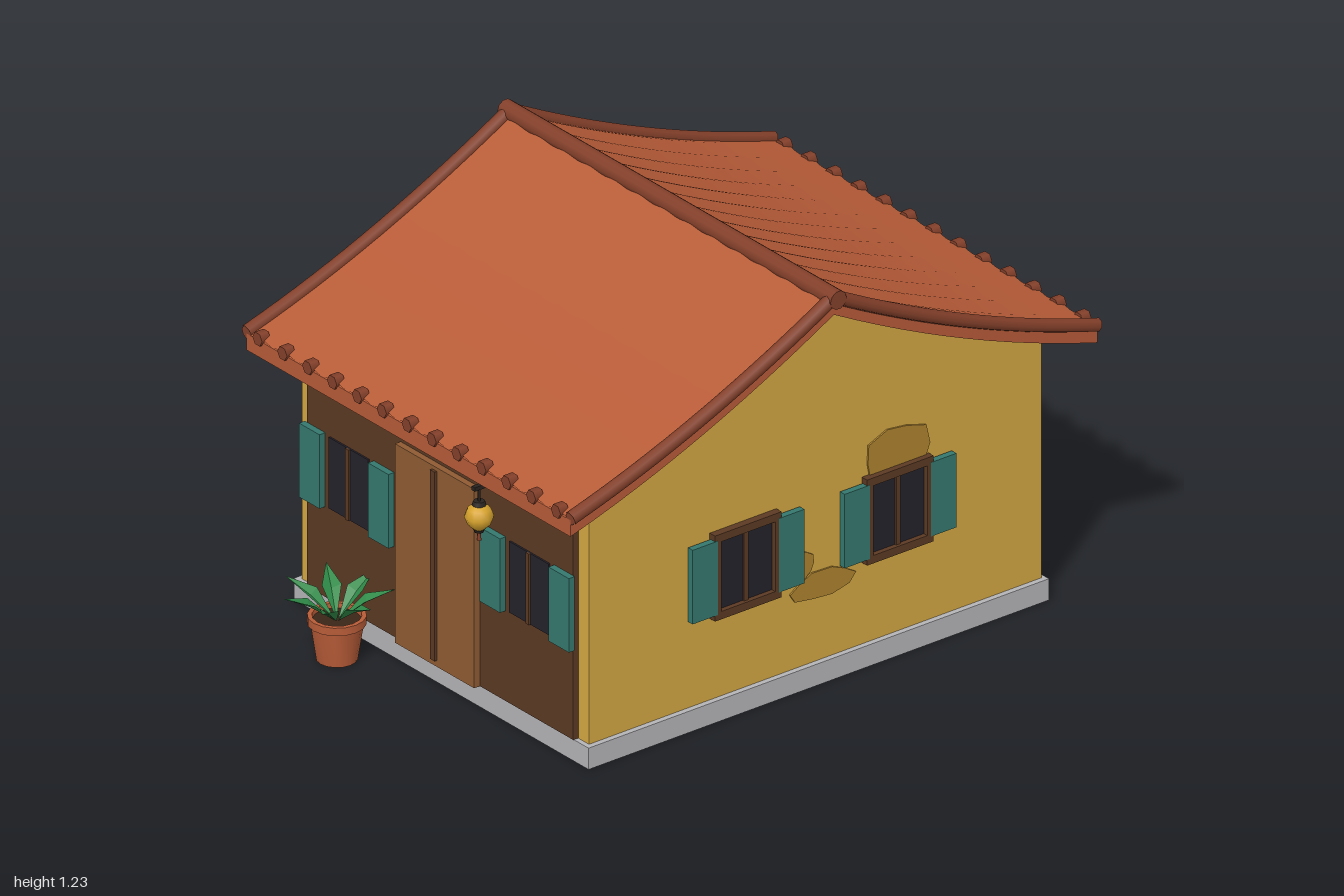
import * as THREE from 'three';
import { toCreasedNormals } from 'three/addons/utils/BufferGeometryUtils.js';

const mat = (color, extra = {}) => Object.assign(new THREE.MeshStandardMaterial({ color }), extra);
const M = {
  tile: mat(0xb85c38), ridge: mat(0x84402a), wall: mat(0xd4a843), stone: mat(0xb4b4b8),
  wood: mat(0x5c3a24), door: mat(0x8f5b33), glass: mat(0x25222b), shutter: mat(0x35786e),
  stain: mat(0xaf832f), pot: mat(0xb85c38), soil: mat(0x3b2618), iron: mat(0x2a2420),
  lantern: mat(0xd9a52e), leaf: mat(0x2f8a48, { flatShading: true, side: THREE.DoubleSide }),
};

function add(parent, name, geo, material, x = 0, y = 0, z = 0) {
  const m = new THREE.Mesh(geo, material);
  m.name = name;
  m.position.set(x, y, z);
  parent.add(m);
  return m;
}
const box = (parent, name, material, w, h, d, x, y, z) =>
  add(parent, name, new THREE.BoxGeometry(w, h, d), material, x, y, z);

// Underside height of the sagging roof at depth z
const RIDGE_Z = -0.085, REACH = 0.91, PITCH = 0.1075;
function roofY(z) {
  const t = Math.abs(z - RIDGE_Z) / REACH;
  return 1.15 - 0.38 * t - 0.12 * t * (1 - t);
}
// Points (z, y) along the roof from z0 to z1, passing through the ridge
function roofLine(z0, z1, lift, n = 12) {
  const pts = [];
  for (let i = 0; i <= 2 * n; i++) {
    const z = i < n ? z0 + (RIDGE_Z - z0) * i / n : RIDGE_Z + (z1 - RIDGE_Z) * (i - n) / n;
    pts.push(new THREE.Vector2(z, roofY(z) + lift));
  }
  return pts;
}
// Extrude a (z, y) outline across the width of the house
function acrossX(points, width) {
  const g = new THREE.ExtrudeGeometry(new THREE.Shape(points), { depth: width, bevelEnabled: false });
  g.rotateY(-Math.PI / 2).translate(width / 2, 0, 0);
  return toCreasedNormals(g, 0.3);
}

function buildRoof() {
  const roof = new THREE.Group();
  roof.name = 'roof';
  const front = RIDGE_Z + REACH, back = RIDGE_Z - REACH;
  add(roof, 'roofSlab', acrossX(
    [...roofLine(back, front, 0), ...roofLine(back, front, 0.05).reverse()], 1.4), M.tile);
  for (const s of [1, -1]) {
    // Gently corrugated tile surface
    const g = new THREE.PlaneGeometry(1.36, REACH, 104, 12).rotateX(-Math.PI / 2);
    if (s < 0) g.rotateY(Math.PI);
    g.translate(0, 0, RIDGE_Z + s * REACH / 2);
    const p = g.attributes.position;
    for (let i = 0; i < p.count; i++) p.setY(i, roofY(p.getZ(i)) + 0.052);
    g.computeVertexNormals();
    for (let i = 0; i < p.count; i++)
      p.setY(i, p.getY(i) + 0.004 * (1 + Math.cos(2 * Math.PI * p.getX(i) / PITCH)));
    add(roof, 'tileSurface', g, M.tile);
    // Hexagonal tile ends along the eave
    for (let i = -6; i <= 6; i++)
      add(roof, 'eaveTileEnd', new THREE.CylinderGeometry(0.021, 0.021, 0.03, 6)
        .rotateY(Math.PI / 6).rotateX(Math.PI / 2), M.ridge,
        i * PITCH, 0.827, RIDGE_Z + s * (REACH - 0.008));
    // Rounded tiles along both gable edges
    for (const side of [1, -1]) {
      const pts = [];
      for (let i = 0; i <= 8; i++) {
        const z = RIDGE_Z + s * REACH * i / 8;
        pts.push(new THREE.Vector3(side * 0.7, roofY(z) + 0.055, z));
      }
      const path = new THREE.CatmullRomCurve3(pts);
      add(roof, 'vergeTile', new THREE.TubeGeometry(path, 16, 0.02, 8), M.ridge);
      const cap = add(roof, 'vergeCap', new THREE.CircleGeometry(0.02, 8), M.ridge,
        side * 0.7, 0.825, RIDGE_Z + s * REACH);
      if (s < 0) cap.rotation.y = Math.PI;
    }
  }
  add(roof, 'ridgeTile', new THREE.CylinderGeometry(0.028, 0.028, 1.44, 10).rotateZ(Math.PI / 2),
    M.ridge, 0, 1.202, RIDGE_Z);
  return roof;
}

// Window facing +z with open or closed shutters
function buildWindow(framed, closed) {
  const g = new THREE.Group();
  g.name = 'window';
  if (framed) {
    for (const s of [1, -1]) {
      box(g, 'frameSide', M.wood, 0.022, 0.26, 0.03, s * 0.104, 0, 0.008);
      box(g, 'frameRail', M.wood, 0.23, 0.024, 0.03, 0, s * 0.118, 0.008);
    }
  }
  if (closed) {
    for (const s of [1, -1]) box(g, 'closedShutter', M.shutter, 0.093, 0.22, 0.02, s * 0.0467, 0, 0.02);
    return g;
  }
  box(g, 'glass', M.glass, framed ? 0.19 : 0.17, 0.216, 0.016, 0, 0, 0);
  box(g, 'mullion', M.wood, 0.014, 0.216, 0.024, 0, 0, 0.002);
  for (const s of [1, -1]) box(g, 'openShutter', M.shutter, 0.088, 0.225, 0.02, s * 0.149, 0, 0.014);
  return g;
}

// Irregular patch of worn plaster, facing +z
function stainGeometry(w, h, seed) {
  const shape = new THREE.Shape();
  for (let i = 0; i < 10; i++) {
    const a = i / 10 * Math.PI * 2, r = 0.94 + 0.1 * Math.sin(seed * 2.3 + i * 2.1);
    const x = Math.cos(a) * r * w / 2, y = Math.sin(a) * r * h / 2;
    if (i) shape.lineTo(x, y); else shape.moveTo(x, y);
  }
  return new THREE.ExtrudeGeometry(shape, { depth: 0.006, bevelEnabled: false });
}

function buildPlant() {
  const g = new THREE.Group();
  g.name = 'pottedPlant';
  const profile = [[0, 0], [0.057, 0], [0.073, 0.105], [0.081, 0.108], [0.081, 0.132], [0.068, 0.132], [0.066, 0.115]];
  const pot = new THREE.LatheGeometry(profile.map(p => new THREE.Vector2(...p)), 16);
  add(g, 'pot', toCreasedNormals(pot, 0.5), M.pot);
  add(g, 'soil', new THREE.CircleGeometry(0.067, 16).rotateX(-Math.PI / 2), M.soil, 0, 0.118, 0);
  // Folded leaf: base, wide middle, pointed tip
  const leaf = new THREE.BufferGeometry();
  leaf.setAttribute('position', new THREE.Float32BufferAttribute([
    0.005, 0.115, 0, 0.075, 0.185, 0.027, 0.08, 0.172, 0, 0.075, 0.185, -0.027, 0.158, 0.212, 0], 3));
  leaf.setIndex([0, 1, 2, 0, 2, 3, 1, 4, 2, 2, 4, 3]);
  leaf.computeVertexNormals();
  for (let i = 0; i < 7; i++) add(g, 'leaf', leaf, M.leaf).rotation.y = -0.04 - i * Math.PI * 2 / 7;
  return g;
}

function buildLantern() {
  const g = new THREE.Group();
  g.name = 'hangingLantern';
  box(g, 'bracket', M.iron, 0.014, 0.012, 0.13, 0, 0.745, -0.045);
  add(g, 'cord', new THREE.CylinderGeometry(0.004, 0.004, 0.05, 6), M.iron, 0, 0.718, 0);
  const body = [[0, 0.618], [0.016, 0.619], [0.032, 0.634], [0.041, 0.657], [0.032, 0.68], [0.016, 0.693], [0, 0.694]];
  add(g, 'lanternBody', new THREE.LatheGeometry(body.map(p => new THREE.Vector2(...p)), 12), M.lantern);
  add(g, 'lanternCap', new THREE.CylinderGeometry(0.016, 0.02, 0.012, 10), M.iron, 0, 0.697, 0);
  add(g, 'lanternFoot', new THREE.CylinderGeometry(0.017, 0.013, 0.01, 10), M.iron, 0, 0.614, 0);
  add(g, 'tassel', new THREE.CylinderGeometry(0.004, 0.007, 0.028, 6), M.ridge, 0, 0.598, 0);
  return g;
}

export function createModel() {
  const house = new THREE.Group();
  house.name = 'house';
  const place = (obj, x, y, z, turn = 0) => {
    obj.position.set(x, y, z);
    obj.rotation.y = turn;
    house.add(obj);
  };

  // Plinth, gabled walls and roof
  box(house, 'plinth', M.stone, 1.274, 0.065, 1.59, 0, 0.0325, -0.083);
  add(house, 'walls', acrossX([new THREE.Vector2(0.697, 0.06), new THREE.Vector2(-0.865, 0.06),
    ...roofLine(-0.865, 0.697, -0.008)], 1.24), M.wall);
  house.add(buildRoof());

  // Timber front with double door
  box(house, 'timberFront', M.wood, 1.15, 0.7, 0.025, 0, 0.416, 0.703);
  box(house, 'door', M.door, 0.342, 0.605, 0.03, 0, 0.368, 0.72);
  box(house, 'doorStrip', M.wood, 0.02, 0.575, 0.012, 0, 0.372, 0.737);

  // Windows: front open, left side open, right side closed
  for (const s of [1, -1]) place(buildWindow(false, false), s * 0.39, 0.454, 0.713);
  for (const z of [0.165, -0.36]) {
    place(buildWindow(true, false), 0.62, 0.442, z, Math.PI / 2);
    place(buildWindow(true, true), -0.62, 0.442, z, -Math.PI / 2);
  }

  // Worn plaster patches: x, y, z, turn, width, height
  const H = Math.PI / 2;
  [[0.619, 0.605, -0.365, H, 0.24, 0.19], [0.619, 0.295, -0.105, H, 0.23, 0.09], [0.619, 0.37, -0.03, H, 0.11, 0.085],
    [-0.619, 0.63, -0.04, -H, 0.19, 0.13], [-0.619, 0.325, -0.68, -H, 0.16, 0.1],
    [-0.064, 0.395, -0.864, 2 * H, 0.23, 0.09], [-0.26, 0.545, -0.864, 2 * H, 0.22, 0.13],
  ].forEach(([x, y, z, turn, w, h], i) => {
    const m = new THREE.Mesh(stainGeometry(w, h, i), M.stain);
    m.name = 'plasterPatch';
    place(m, x, y, z, turn);
  });

  place(buildLantern(), 0.28, 0, 0.805);
  place(buildPlant(), -0.297, 0, 0.835);
  return house;
}
